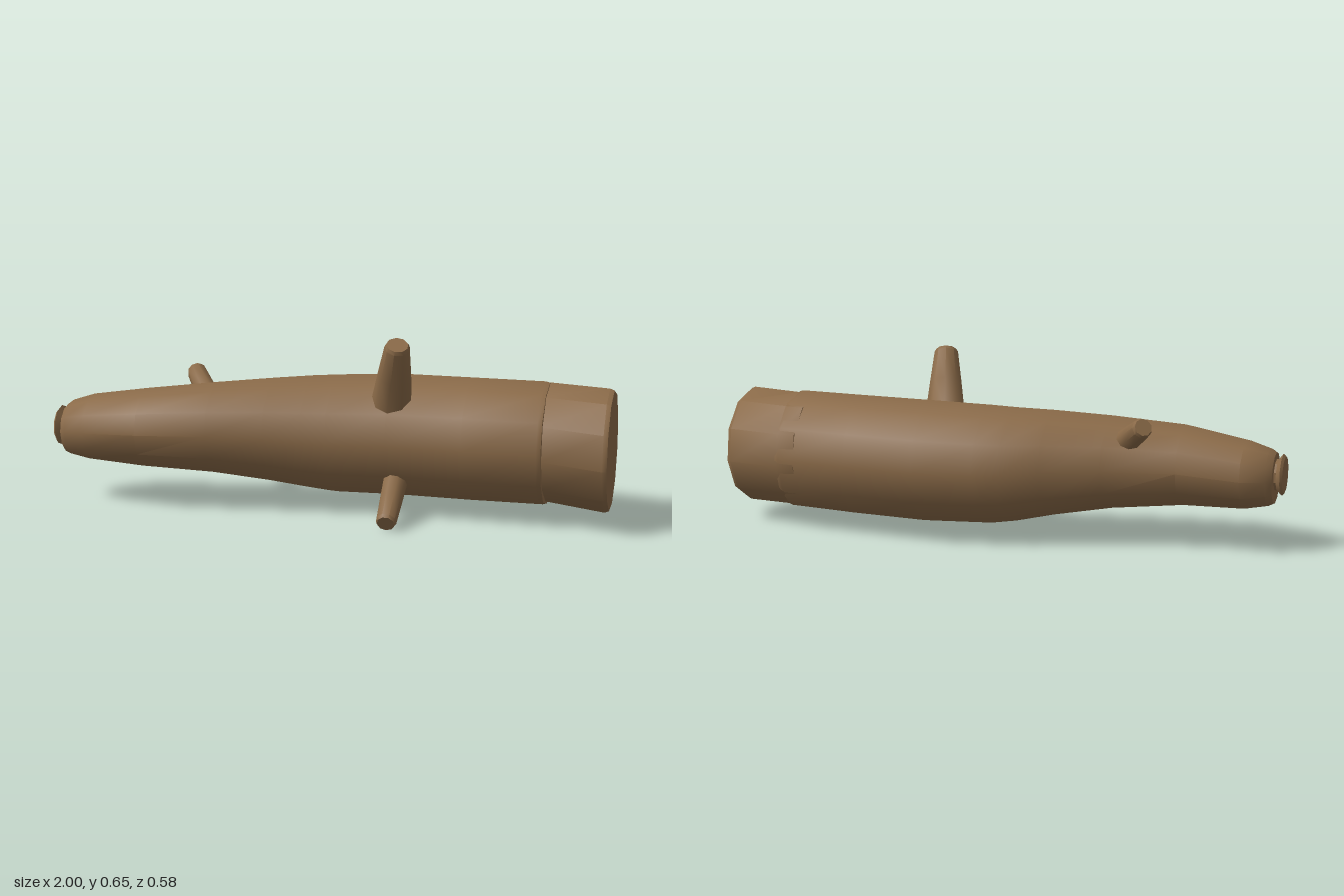
import * as THREE from 'three';
import { mergeVertices, toCreasedNormals } from 'three/addons/utils/BufferGeometryUtils.js';

const wood = new THREE.MeshStandardMaterial({ color: 0x8a6a48 });

// Closed skin through elliptical sections along x: [x, yMin, yMax, zMin, zMax]
function loft(name, sections, sides) {
  const pos = [], index = [];
  const addPoint = (x, y, z) => pos.push(x, y, z);
  for (const [x, y0, y1, z0, z1] of sections) {
    for (let j = 0; j < sides; j++) {
      const a = (j / sides) * Math.PI * 2;
      addPoint(x, (y0 + y1) / 2 + Math.cos(a) * (y1 - y0) / 2,
        (z0 + z1) / 2 + Math.sin(a) * (z1 - z0) / 2);
    }
  }
  const last = sections.length - 1;
  for (const [x, y0, y1, z0, z1] of [sections[0], sections[last]]) {
    addPoint(x, (y0 + y1) / 2, (z0 + z1) / 2);
  }
  const startCentre = sections.length * sides, endCentre = startCentre + 1;
  for (let j = 0; j < sides; j++) {
    const k = (j + 1) % sides;
    for (let i = 0; i < last; i++) {
      const a = i * sides, b = a + sides;
      index.push(a + j, a + k, b + j, a + k, b + k, b + j);
    }
    index.push(startCentre, k, j, endCentre, last * sides + j, last * sides + k);
  }
  const geo = new THREE.BufferGeometry();
  geo.setAttribute('position', new THREE.Float32BufferAttribute(pos, 3));
  geo.setIndex(index);
  const mesh = new THREE.Mesh(toCreasedNormals(geo, 0.6), wood);
  mesh.name = name;
  return mesh;
}

// Tapered branch stub with a slightly bevelled cut tip
function branch(name, base, tip, rBase, rTip, sides = 9) {
  const from = new THREE.Vector3(...base), dir = new THREE.Vector3(...tip).sub(from);
  const len = dir.length();
  const profile = [[0, 0], [rBase, 0], [(rBase + rTip) / 2, len * 0.5],
    [rTip, len - 0.012], [rTip * 0.85, len], [0, len]].map(p => new THREE.Vector2(...p));
  const geo = new THREE.LatheGeometry(profile, sides);
  geo.deleteAttribute('normal');
  geo.deleteAttribute('uv');
  const mesh = new THREE.Mesh(toCreasedNormals(mergeVertices(geo), 0.75), wood);
  mesh.position.copy(from);
  mesh.quaternion.setFromUnitVectors(new THREE.Vector3(0, 1, 0), dir.normalize());
  mesh.name = name;
  return mesh;
}

export function createModel() {
  const log = new THREE.Group();
  log.name = 'fallenLog';

  // Curved, tapering trunk ending in a bark lip
  log.add(loft('trunk', [
    [-0.97, 0.17, 0.35, 0.02, 0.185],
    [-0.95, 0.16, 0.365, 0.0, 0.195],
    [-0.87, 0.145, 0.39, -0.045, 0.225],
    [-0.65, 0.135, 0.425, -0.05, 0.265],
    [-0.4, 0.115, 0.45, -0.12, 0.232],
    [-0.2, 0.085, 0.466, -0.19, 0.2],
    [-0.07, 0.06, 0.474, -0.245, 0.18],
    [0.02, 0.047, 0.479, -0.258, 0.168],
    [0.23, 0.043, 0.487, -0.295, 0.147],
    [0.5, 0.043, 0.487, -0.283, 0.155],
    [0.76, 0.047, 0.487, -0.27, 0.166],
    [0.775, 0.052, 0.483, -0.265, 0.162],
  ], 12));

  // Flared bare wood beyond the bark lip
  log.add(loft('sawnEnd', [
    [0.7, 0.065, 0.48, -0.273, 0.13],
    [0.77, 0.062, 0.482, -0.27, 0.14],
    [0.985, 0.05, 0.48, -0.22, 0.203],
    [1.0, 0.056, 0.474, -0.211, 0.198],
  ], 11));

  // Small knob at the thin end
  log.add(loft('endKnob', [
    [-1.0, 0.205, 0.335, 0.05, 0.175],
    [-0.992, 0.197, 0.345, 0.042, 0.183],
    [-0.977, 0.215, 0.325, 0.055, 0.168],
    [-0.94, 0.21, 0.33, 0.05, 0.17],
  ], 10));

  // Branch stubs
  log.add(branch('upperBranch', [0.235, 0.4, 0.045], [0.285, 0.63, 0.185], 0.074, 0.044));
  log.add(branch('lowerBranch', [0.258, 0.135, 0.08], [0.268, 0.026, 0.272], 0.044, 0.036));
  log.add(branch('backBranch', [-0.46, 0.37, -0.01], [-0.56, 0.455, -0.14], 0.044, 0.036));
  return log;
}
